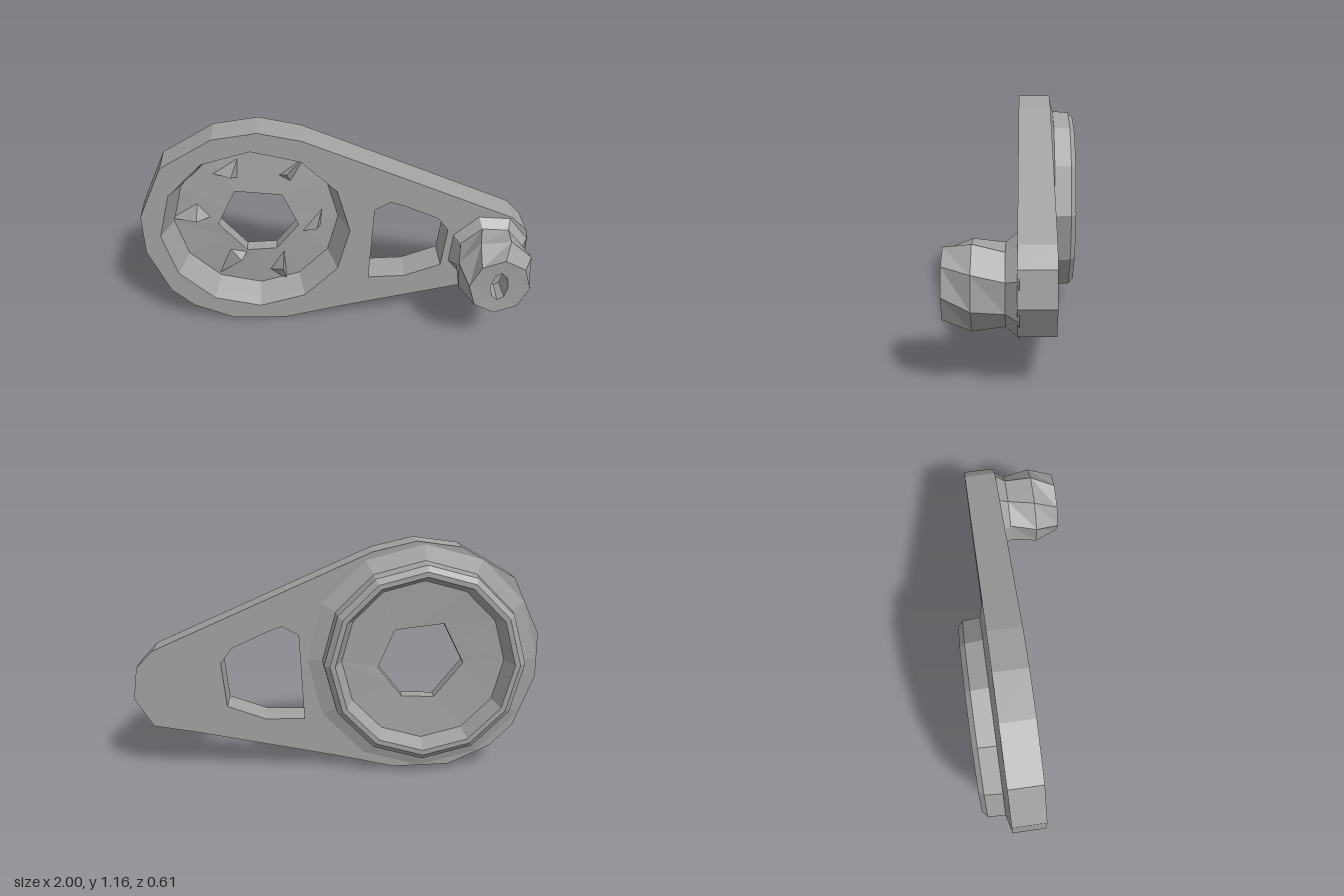
import * as THREE from 'three';
import { ConvexGeometry } from 'three/addons/geometries/ConvexGeometry.js';

const V2 = (p) => new THREE.Vector2(p[0], p[1]);

// Ring of n [x, y, z] points around (cx, cy), counter-clockwise from the front
function ring(cx, cy, n, rx, ry, z, turn = 0) {
  return Array.from({ length: n }, (_, i) => {
    const a = (i / n) * Math.PI * 2 + turn;
    return [cx + rx * Math.cos(a), cy + ry * Math.sin(a), z];
  });
}

// Faceted skin through successive rings
function loft(rings) {
  const pos = [];
  for (let r = 0; r < rings.length - 1; r++) {
    const a = rings[r], b = rings[r + 1], n = a.length;
    for (let i = 0; i < n; i++) {
      const j = (i + 1) % n;
      pos.push(...a[i], ...a[j], ...b[j], ...a[i], ...b[j], ...b[i]);
    }
  }
  const g = new THREE.BufferGeometry();
  g.setAttribute('position', new THREE.Float32BufferAttribute(pos, 3));
  g.computeVertexNormals();
  return g;
}

export function createModel() {
  const group = new THREE.Group();
  const metal = new THREE.MeshStandardMaterial({ color: 0xa2a2a2, flatShading: true });
  metal.name = 'greyMetal';
  const add = (name, geometry) => {
    const m = new THREE.Mesh(geometry, metal);
    m.name = name;
    group.add(m);
  };

  const cx = -0.43, cy = 0.575, front = -0.01, back = -0.175;
  const cupRing = (r, z) => ring(cx, cy, 12, r, r, z);

  // Tapered arm plate with the window and the round pocket cut out
  const outline = [
    [-1, 0.48], [-0.9, 0.22], [-0.79, 0.11], [-0.58, 0.01], [-0.3, 0], [0, 0.065],
    [0.7, 0.2], [0.91, 0.235], [1, 0.38], [0.98, 0.54], [0.9, 0.625], [0, 1.03],
    [-0.18, 1.11], [-0.39, 1.16], [-0.61, 1.13], [-0.87, 0.98], [-1, 0.7],
  ];
  const windowOutline = [
    [0.155, 0.265], [0.18, 0.7], [0.26, 0.745], [0.33, 0.72],
    [0.51, 0.635], [0.565, 0.56], [0.54, 0.335], [0.35, 0.267],
  ];
  const plate = new THREE.Shape(outline.map(V2));
  plate.holes.push(new THREE.Path(windowOutline.map(V2)));
  plate.holes.push(new THREE.Path(cupRing(0.485, 0).map(V2).reverse()));
  const plateGeo = new THREE.ExtrudeGeometry(plate, { depth: front - back, bevelEnabled: false });
  plateGeo.translate(0, 0, back);
  add('armPlate', plateGeo);

  // Six-sided centre hole, with edge midpoints so it matches the cup rings
  const hub = [[-0.21, 0.54], [-0.29, 0.73], [-0.53, 0.76], [-0.63, 0.56], [-0.49, 0.385], [-0.33, 0.39]];
  const hubRing = (z) => hub.flatMap((p, i) => {
    const q = hub[(i + 1) % 6];
    return [[p[0], p[1], z], [(p[0] + q[0]) / 2, (p[1] + q[1]) / 2, z]];
  });

  // Cup: front pocket, floor, centre hole, back recess, rim and outer collar
  add('hubCup', loft([
    cupRing(0.485, front), cupRing(0.465, -0.06), cupRing(0.43, -0.15),
    hubRing(-0.13), hubRing(-0.2),
    cupRing(0.4, -0.21), cupRing(0.435, -0.305), cupRing(0.46, -0.305),
    cupRing(0.488, -0.28), cupRing(0.495, -0.195), cupRing(0.57, back),
  ]));

  // Small pointed ribs around the pocket floor: three base corners and a peak
  const ribs = [
    [[-0.65, 0.86], [-0.5, 0.955], [-0.505, 0.83], [-0.54, 0.87]],
    [[-0.31, 0.835], [-0.165, 0.94], [-0.24, 0.79], [-0.26, 0.88]],
    [[-0.22, 0.48], [-0.08, 0.64], [-0.09, 0.525], [-0.115, 0.54]],
    [[-0.385, 0.23], [-0.29, 0.4], [-0.285, 0.15], [-0.3, 0.28]],
    [[-0.66, 0.21], [-0.6, 0.4], [-0.48, 0.38], [-0.52, 0.35]],
    [[-0.88, 0.59], [-0.73, 0.7], [-0.645, 0.6], [-0.735, 0.61]],
  ];
  for (const rib of ribs) {
    add('pocketRib', new ConvexGeometry(
      rib.map(([x, y], i) => new THREE.Vector3(x, y, i === 3 ? -0.08 : -0.155))));
  }

  // Faceted peg: chamfered base, bulged body, small blind hole in its end
  const pegRing = (rx, ry, z, turn = 0.3) => ring(0.785, 0.425, 8, rx, ry, z, turn);
  add('peg', loft([
    pegRing(0.22, 0.23, front - 0.01), pegRing(0.178, 0.18, 0.04),
    pegRing(0.2, 0.2, 0.18, 0.45), pegRing(0.155, 0.165, 0.305, 0.7),
    pegRing(0.045, 0.085, 0.3, 0.7), pegRing(0.035, 0.07, 0.2, 0.7), pegRing(0.0005, 0.0005, 0.2, 0.7),
  ]));

  return group;
}
